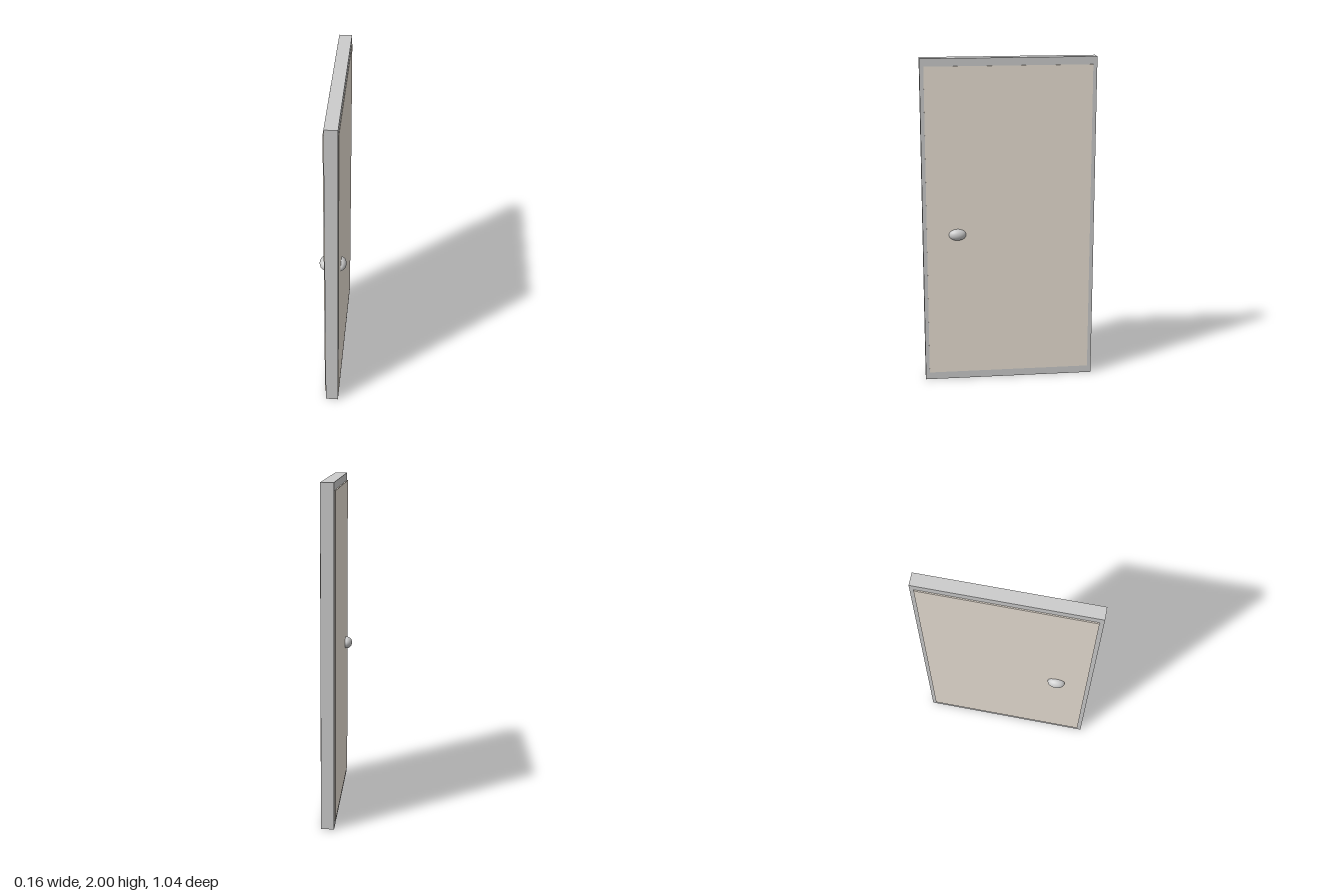
import * as THREE from 'three';

export function createModel() {
  const model = new THREE.Group();
  const grey = new THREE.MeshStandardMaterial({ color: 0xcccccc });
  const beige = new THREE.MeshStandardMaterial({ color: 0xe9e0d4 });

  function add(name, geometry, material, x, y, z) {
    const mesh = new THREE.Mesh(geometry, material);
    mesh.name = name;
    mesh.position.set(x, y, z);
    model.add(mesh);
    return mesh;
  }

  // Door slab with its exposed grey border
  add('doorSlab', new THREE.BoxGeometry(0.076, 2, 1.044), grey, 0.007, 1, 0);

  // Inner panel, slightly proud of the slab on both faces
  add('doorPanel', new THREE.BoxGeometry(0.086, 1.908, 0.996), beige, 0.005, 1, 0);

  // Oval knobs, one on each face
  const knob = new THREE.SphereGeometry(0.036, 32, 24).scale(1, 1, 1.47);
  add('leftKnob', knob, grey, 0.043, 0.937, 0.313);
  add('rightKnob', knob, grey, -0.044, 0.937, 0.313);

  return model;
}
